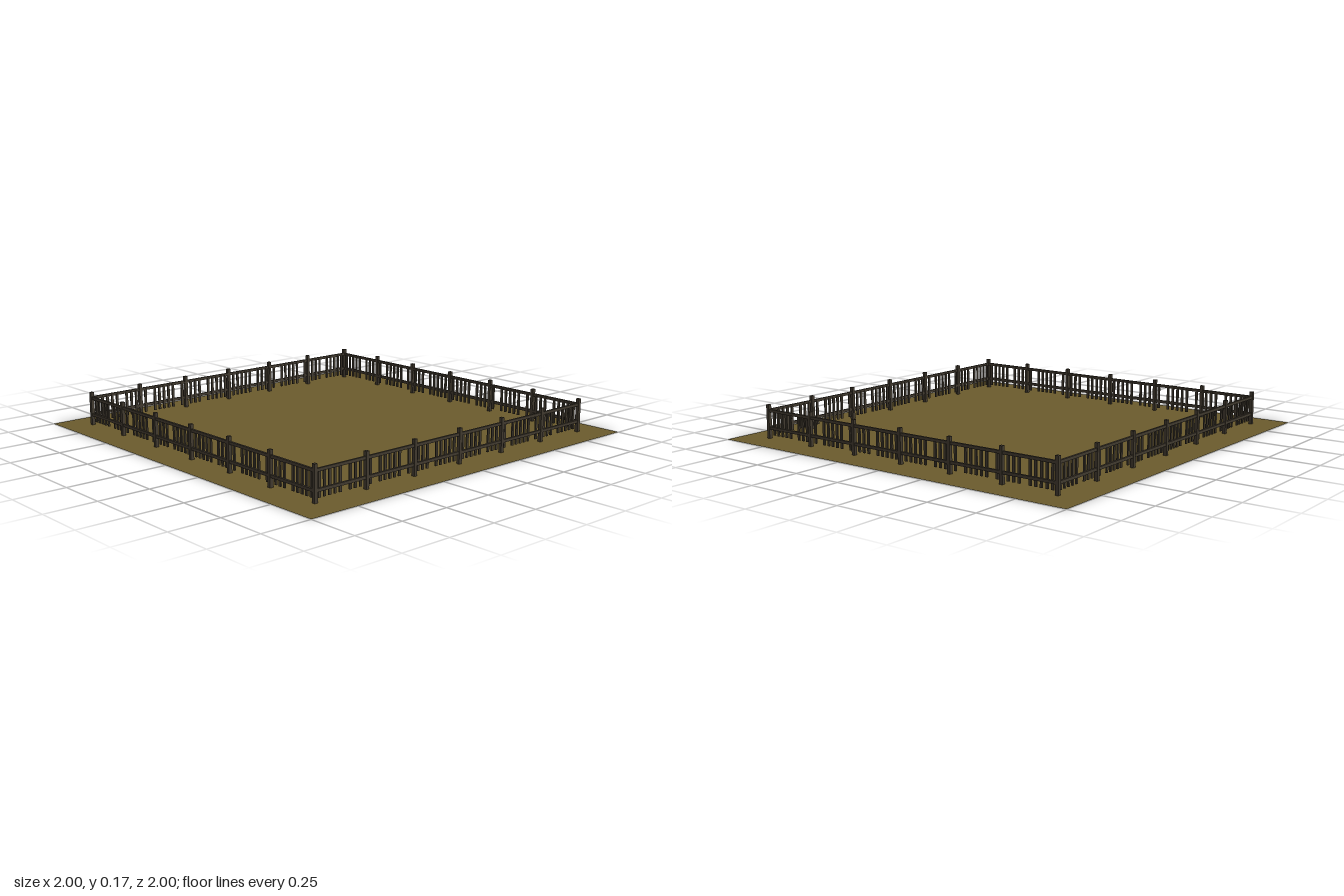
import * as THREE from 'three';

const HALF = 0.857;          // distance from centre to each fence line
const BAY = HALF / 3;        // spacing between posts
const STEP = BAY / 10;       // spacing between pickets

export function createModel() {
  const model = new THREE.Group();
  model.name = 'fencedYard';

  const earth = new THREE.MeshStandardMaterial({ color: 0x6b5b2d, side: THREE.DoubleSide });
  earth.name = 'dry earth';
  const wood = new THREE.MeshStandardMaterial({ color: 0x40392e });
  wood.name = 'dark wood';

  const box = (parent, name, size, pos) => {
    const mesh = new THREE.Mesh(new THREE.BoxGeometry(...size), wood);
    mesh.name = name;
    mesh.position.set(...pos);
    parent.add(mesh);
  };

  // Flat ground sheet
  const ground = new THREE.Mesh(new THREE.PlaneGeometry(2, 2), earth);
  ground.name = 'ground';
  ground.rotation.x = -Math.PI / 2;
  ground.position.y = 0.001;
  model.add(ground);

  // Four identical fence sides, each turned a quarter further
  ['front', 'left', 'back', 'right'].forEach((side, i) => {
    const fence = new THREE.Group();
    fence.name = side + 'Fence';
    fence.rotation.y = i * Math.PI / 2;

    // Posts: the last corner belongs to the next side
    for (let p = 0; p < 6; p++) {
      box(fence, 'post', [0.017, 0.168, 0.017], [-HALF + p * BAY, 0.084, HALF]);
    }

    // Upper and lower rails
    for (const y of [0.139, 0.053]) {
      box(fence, 'rail', [HALF * 2, 0.014, 0.011], [0, y, HALF]);
    }

    // Pickets in groups of five on the inner face, every sixth left out
    for (let k = 1; k < 60; k++) {
      if (k % 6 === 0) continue;
      box(fence, 'picket', [0.0125, 0.122, 0.007], [-HALF + k * STEP, 0.078, HALF - 0.006]);
    }
    model.add(fence);
  });

  return model;
}
